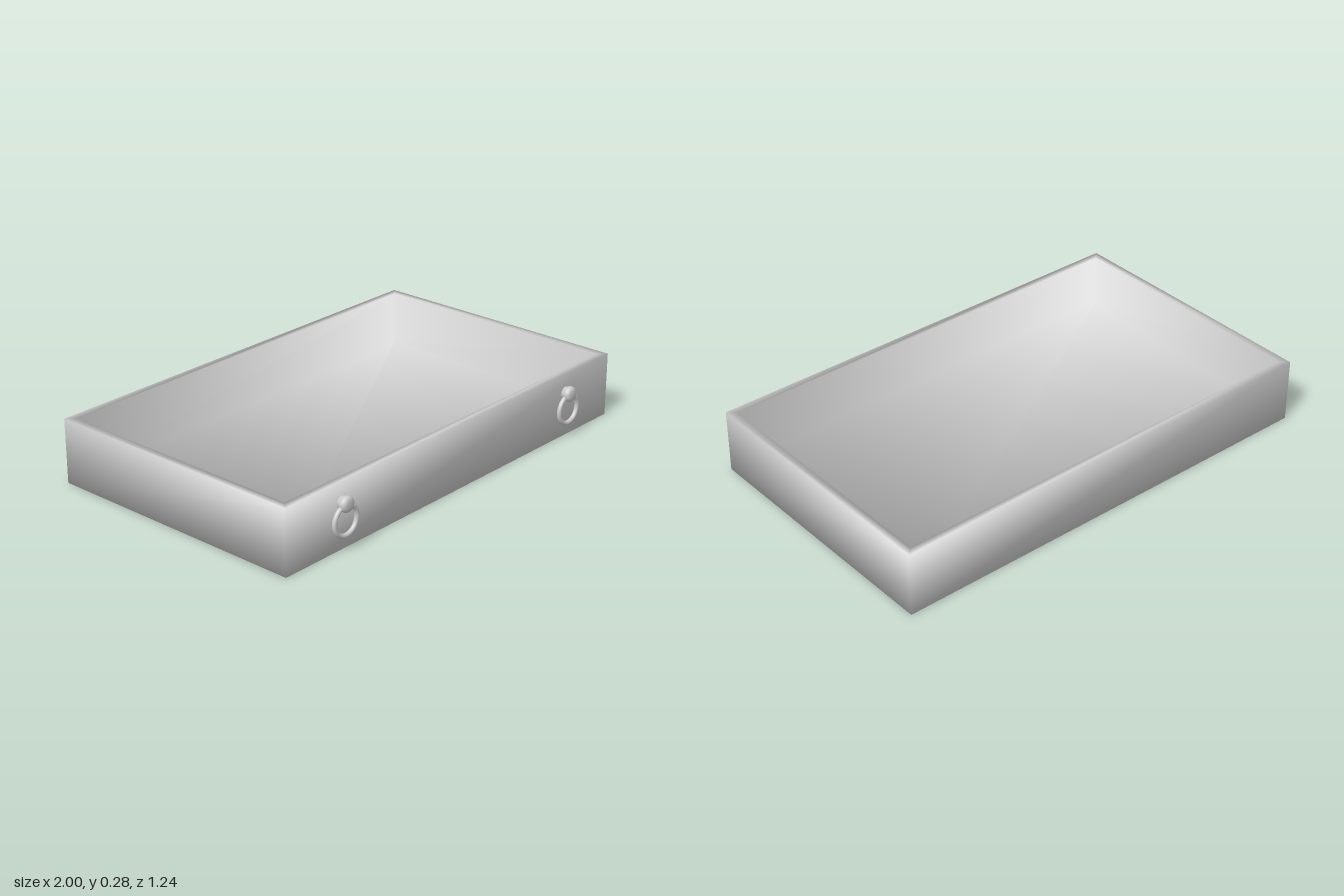
import * as THREE from 'three';

const material = new THREE.MeshStandardMaterial({ color: 0xcccccc, side: THREE.DoubleSide });

const FRONT = 0.58, BACK = -0.62, HALF_WIDTH = 1, HEIGHT = 0.28, WALL = 0.034;

// Open tray: four rectangular loops, from the outer base over the rim to the inner floor.
// Corner normals point along the corner diagonals, so shading rolls softly round the edges.
function trayGeometry() {
  const loops = [
    { y: 0, inset: 0, nxz: 1, ny: -1 },
    { y: HEIGHT, inset: 0, nxz: 1, ny: 1 },
    { y: HEIGHT, inset: WALL, nxz: -1, ny: 1 },
    { y: 0.04, inset: WALL, nxz: -1, ny: 1 },
  ];
  const corners = [[-1, 1], [1, 1], [1, -1], [-1, -1]];
  const positions = [], normals = [], index = [];
  const k = 1 / Math.sqrt(3);
  for (const { y, inset, nxz, ny } of loops) {
    for (const [sx, sz] of corners) {
      positions.push(sx * (HALF_WIDTH - inset), y, sz > 0 ? FRONT - inset : BACK + inset);
      normals.push(sx * nxz * k, ny * k, sz * nxz * k);
    }
  }
  const quad = (a, b, c, d) => index.push(a, b, c, a, c, d);
  for (let l = 0; l < 3; l++) {
    for (let i = 0; i < 4; i++) {
      const j = (i + 1) % 4;
      quad(l * 4 + i, l * 4 + j, l * 4 + 4 + j, l * 4 + 4 + i);
    }
  }
  quad(3, 2, 1, 0);      // underside
  quad(12, 13, 14, 15);  // inner floor
  const geometry = new THREE.BufferGeometry();
  geometry.setAttribute('position', new THREE.Float32BufferAttribute(positions, 3));
  geometry.setAttribute('normal', new THREE.Float32BufferAttribute(normals, 3));
  geometry.setIndex(index);
  return geometry;
}

function addMesh(parent, name, geometry) {
  const mesh = new THREE.Mesh(geometry, material);
  mesh.name = name;
  parent.add(mesh);
  return mesh;
}

// Ring pull: a rounded stud with a ring hanging from it
function ringPull(name, x) {
  const pull = new THREE.Group();
  pull.name = name;
  pull.position.set(x, 0, FRONT);

  const profile = [
    [0.027, -0.005], [0.027, 0.006], [0.031, 0.012], [0.033, 0.02],
    [0.033, 0.028], [0.03, 0.035], [0.023, 0.04], [0.012, 0.042], [0, 0.0425],
  ].map(([r, h]) => new THREE.Vector2(r, h));
  const stud = addMesh(pull, 'stud', new THREE.LatheGeometry(profile, 32));
  stud.rotation.x = Math.PI / 2;
  stud.position.y = 0.195;

  const ring = addMesh(pull, 'ring', new THREE.TorusGeometry(0.062, 0.01, 16, 48));
  ring.position.set(0, 0.126, 0.019);
  return pull;
}

export function createModel() {
  const drawer = new THREE.Group();
  drawer.name = 'drawer';
  addMesh(drawer, 'tray', trayGeometry());
  drawer.add(ringPull('leftPull', 0.697), ringPull('rightPull', -0.697));
  return drawer;
}
